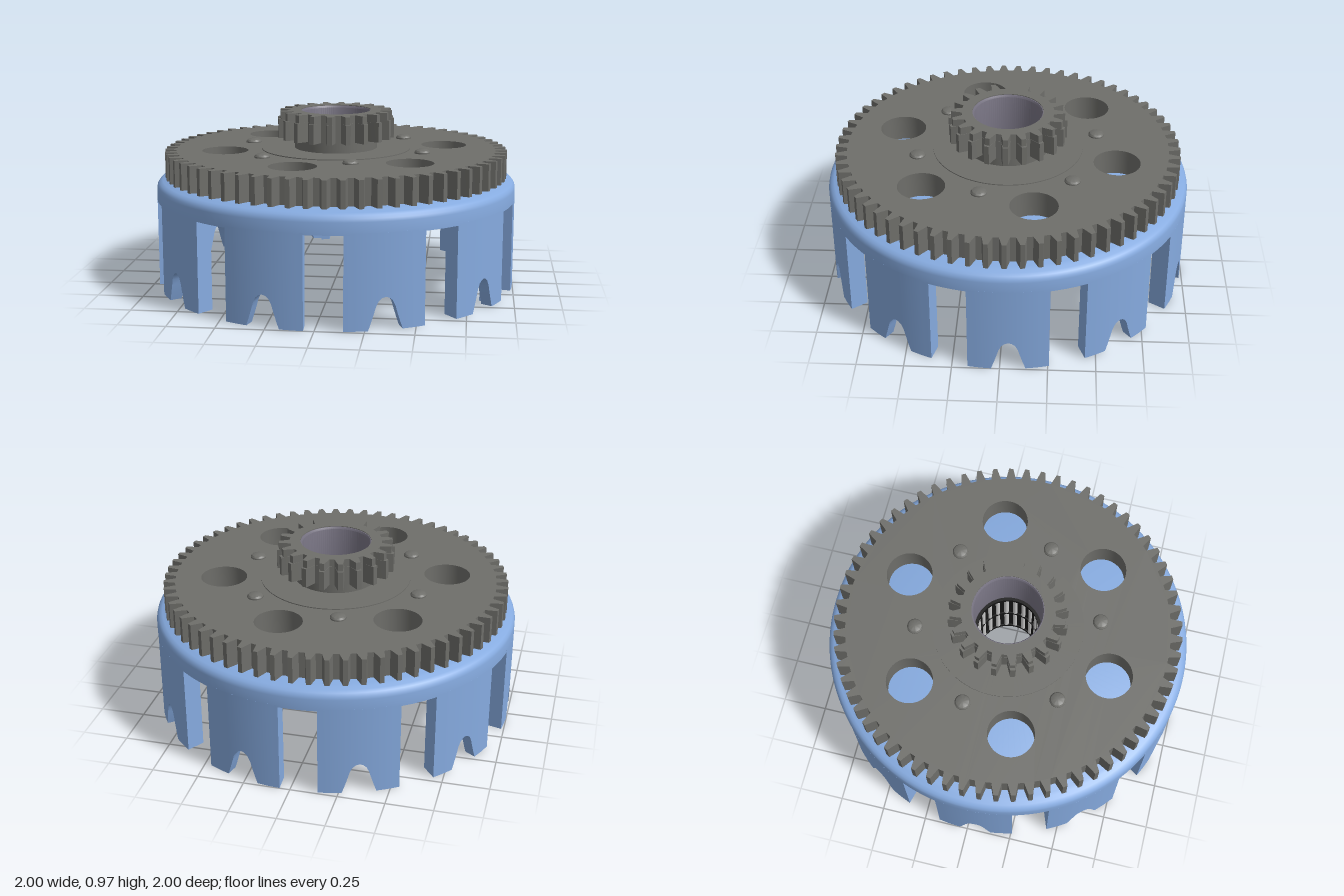
import * as THREE from 'three';
import { toCreasedNormals } from 'three/addons/utils/BufferGeometryUtils.js';

const mat = (color) => new THREE.MeshStandardMaterial({ color, side: THREE.DoubleSide });
const blue = mat(0x86abe0), steel = mat(0x6e6e6a), bore = mat(0x777382);
const black = mat(0x151515), roller = mat(0xd6d6d2);

function add(parent, name, geometry, material) {
  const mesh = new THREE.Mesh(geometry, material);
  mesh.name = name;
  parent.add(mesh);
  return mesh;
}

// Closed ring turned from (radius, height) points
function turned(points, segments = 96) {
  const profile = [...points, points[0]].map(([r, y]) => new THREE.Vector2(r, y));
  return toCreasedNormals(new THREE.LatheGeometry(profile, segments), 0.5);
}

// Spur gear lying flat on height y; holes are [x, y, radius] in its own plane
function spurGear(teeth, root, tip, y, height, holes) {
  const shape = new THREE.Shape();
  const pitch = (Math.PI * 2) / teeth;
  const outline = [[-0.32, root], [-0.22, root + (tip - root) * 0.5], [-0.13, tip],
    [0.13, tip], [0.22, root + (tip - root) * 0.5], [0.32, root]];
  for (let i = 0; i < teeth; i++) {
    outline.forEach(([f, r], k) => {
      const a = Math.PI / 2 + (i + f) * pitch;
      const x = Math.cos(a) * r, z = Math.sin(a) * r;
      if (i + k === 0) shape.moveTo(x, z); else shape.lineTo(x, z);
    });
  }
  shape.closePath();
  for (const [x, z, r] of holes) shape.holes.push(new THREE.Path().absarc(x, z, r, 0, Math.PI * 2, true));
  const g = new THREE.ExtrudeGeometry(shape, { depth: height, bevelEnabled: false, curveSegments: 32 });
  g.rotateX(-Math.PI / 2);
  g.translate(0, y, 0);
  return toCreasedNormals(g, 0.5);
}

// One curved finger: parallel-sided slots beside it, an arch in its foot, ribs along its inner edges
function fingerGeometry() {
  const top = 0.5, half = Math.PI / 10, slot = 0.1, rib = 0.05;
  const edge = (r, inset) => half - Math.asin((slot + inset) / r);
  const side = [];
  const column = (angle, y, rin) => side.push({ angle, y, rin });
  column((r) => edge(r, 0), 0, 0.9);
  column((r) => edge(r, rib), 0, 0.9);
  column((r) => edge(r, rib + 0.001), 0, 0.935);
  for (const t of [0.33, 0.67]) {
    column((r) => edge(r, rib) * (1 - t) + Math.asin(0.09 / r) * t, 0, 0.935);
  }
  const arch = [[0.09, 0], [0.076, 0.04], [0.06, 0.09], [0.05, 0.125], [0.036, 0.152], [0.018, 0.167], [0, 0.172]];
  for (const [s, y] of arch) column((r) => Math.asin(s / r), y, 0.935);
  const mirrored = side.slice(0, -1).reverse().map((c) => ({ ...c, angle: (r) => -c.angle(r) }));
  const columns = [...side, ...mirrored];

  const pos = [], index = [];
  for (const { angle, y, rin } of columns) {
    for (const [r, h] of [[rin, y], [1, y], [1, top], [rin, top]]) {
      const a = angle(r);
      pos.push(Math.sin(a) * r, h, Math.cos(a) * r);
    }
  }
  const quad = (a, b, c, d) => index.push(a, b, c, a, c, d);
  for (let i = 0; i < columns.length - 1; i++) {
    for (let k = 0; k < 4; k++) {
      const n = (k + 1) % 4, p = i * 4, q = p + 4;
      quad(p + k, p + n, q + n, q + k);
    }
  }
  const e = (columns.length - 1) * 4;
  quad(3, 2, 1, 0);
  quad(e, e + 1, e + 2, e + 3);
  const g = new THREE.BufferGeometry();
  g.setAttribute('position', new THREE.Float32BufferAttribute(pos, 3));
  g.setIndex(index);
  return toCreasedNormals(g, 0.5);
}

// Points on a circle, as seen from above with y pointing to the back
const around = (n, radius, startDeg) => Array.from({ length: n }, (_, i) => {
  const a = THREE.MathUtils.degToRad(startDeg) + (i * Math.PI * 2) / n;
  return [Math.cos(a) * radius, Math.sin(a) * radius];
});

export function createModel() {
  const model = new THREE.Group();
  model.name = 'clutchBasket';

  // Basket: rounded top plate with a stepped underside
  const basket = new THREE.Group();
  basket.name = 'basket';
  model.add(basket);
  add(basket, 'basketPlate', turned([
    [0.235, 0.56], [0.755, 0.56], [0.78, 0.515], [0.9, 0.515], [0.9, 0.49], [1, 0.49],
    [1, 0.555], [0.996, 0.572], [0.985, 0.587], [0.968, 0.597], [0.945, 0.603], [0.93, 0.61], [0.235, 0.61],
  ], 128), blue);

  // Ten fingers hanging from the plate
  const finger = fingerGeometry();
  for (let i = 0; i < 10; i++) {
    add(basket, 'finger', finger, blue).rotation.y = THREE.MathUtils.degToRad(20.6 + i * 36);
  }

  // Large driven gear with six round windows
  const windows = around(6, 0.62, 15).map(([x, z]) => [x, z, 0.127]);
  add(model, 'largeGear', spurGear(65, 0.888, 0.952, 0.61, 0.145, [...windows, [0, 0, 0.23]]), steel);

  // Rivets through gear and plate, domed on top
  const rivet = turned([
    [0, 0.515], [0.036, 0.515], [0.043, 0.522], [0.043, 0.762], [0.036, 0.771], [0.022, 0.777], [0, 0.778],
  ], 24);
  for (const [x, z] of around(6, 0.507, 45)) add(model, 'rivet', rivet, steel).position.set(x, 0, -z);

  // Hub with a flat collar, carrying the small gear
  add(model, 'hub', turned([
    [0.194, 0.545], [0.24, 0.545], [0.24, 0.74], [0.415, 0.74], [0.415, 0.76], [0.23, 0.76],
    [0.23, 0.83], [0.194, 0.83],
  ]), steel);
  add(model, 'smallGear', spurGear(20, 0.255, 0.325, 0.82, 0.108, [[0, 0, 0.194]]), steel);
  add(model, 'smallGearTop', spurGear(20, 0.253, 0.312, 0.928, 0.042, [[0, 0, 0.194]]), steel);
  add(model, 'boreSleeve', turned([
    [0.184, 0.69], [0.195, 0.69], [0.195, 0.966], [0.19, 0.966], [0.184, 0.955],
  ]), bore);

  // Needle bearing: cage with two rows of rollers
  const bearing = new THREE.Group();
  bearing.name = 'needleBearing';
  model.add(bearing);
  add(bearing, 'cage', turned([[0.174, 0.29], [0.182, 0.29], [0.182, 0.69], [0.174, 0.69]], 64), black);
  for (const y of [0.29, 0.48, 0.67]) {
    add(bearing, 'cageRing', turned([[0.167, y], [0.19, y], [0.19, y + 0.02], [0.167, y + 0.02]], 64), black);
  }
  const needle = new THREE.CylinderGeometry(0.014, 0.014, 0.17, 10);
  for (const y of [0.395, 0.585]) {
    for (const [x, z] of around(22, 0.178, 0)) add(bearing, 'needleRoller', needle, roller).position.set(x, y, z);
  }
  return model;
}
